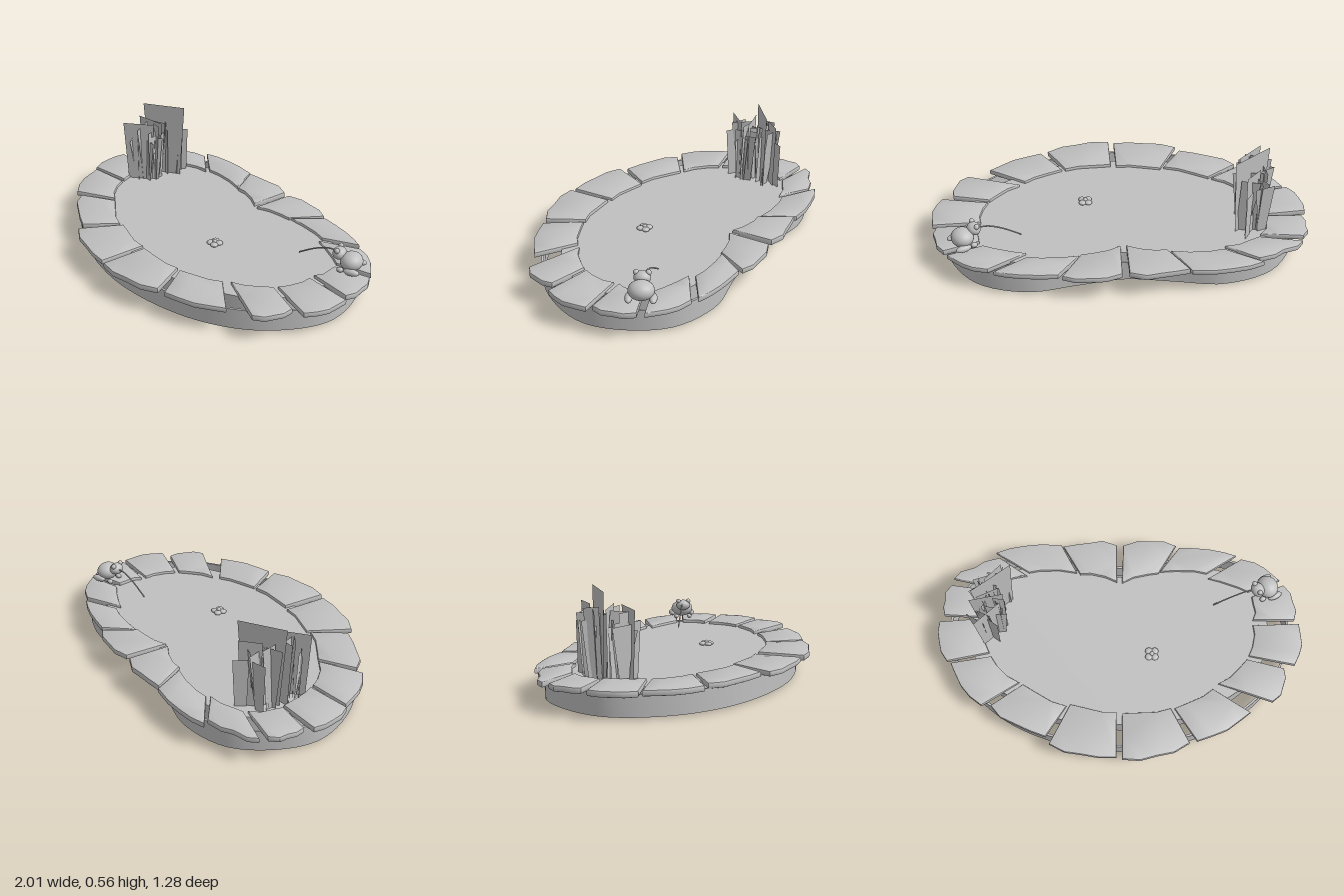
import * as THREE from 'three';
import { toCreasedNormals } from 'three/addons/utils/BufferGeometryUtils.js';

const grey = new THREE.MeshStandardMaterial({ color: 0xc0c0c0, side: THREE.DoubleSide });
grey.name = 'plain grey';

// small seeded random number source
function seeded(seed) {
  return () => (seed = (seed * 16807) % 2147483647) / 2147483647;
}

function add(parent, name, geometry, pos = [0, 0, 0], scale = [1, 1, 1]) {
  const mesh = new THREE.Mesh(geometry, grey);
  mesh.name = name;
  mesh.position.set(...pos);
  mesh.scale.set(...scale);
  parent.add(mesh);
  return mesh;
}

// extrudes an (x, -z) shape upward from y0 to y1
function slab(shape, y0, y1, bevel = 0) {
  const g = new THREE.ExtrudeGeometry(shape, {
    depth: y1 - y0 - 2 * bevel, bevelEnabled: bevel > 0, bevelThickness: bevel,
    bevelSize: bevel, bevelOffset: -bevel, bevelSegments: 2,
  });
  g.rotateX(-Math.PI / 2).translate(0, y0 + bevel, 0);
  return toCreasedNormals(g, 0.7);
}

// kidney outlines: the +x half from back to front, centre points first and last
const WALL = [[0, -0.49], [0.25, -0.525], [0.5, -0.56], [0.76, -0.47], [0.91, -0.25], [0.94, -0.05],
  [0.82, 0.21], [0.62, 0.39], [0.34, 0.51], [0, 0.56]];
const BASIN = [[0, -0.42], [0.25, -0.46], [0.5, -0.475], [0.7, -0.4], [0.81, -0.2], [0.82, -0.04],
  [0.73, 0.17], [0.55, 0.31], [0.32, 0.41], [0, 0.44]];
function outline(half, inset = 0) {
  const pts = [...half, ...half.slice(1, -1).map(([x, z]) => [-x, z]).reverse()];
  const curve = new THREE.CatmullRomCurve3(
    pts.map(([x, z]) => new THREE.Vector3(x, 0, z)), true);
  return curve.getPoints(96).slice(0, 96).map((p, i) => {
    const t = curve.getTangent(i / 96);
    return new THREE.Vector2(p.x - t.z * inset, -(p.z + t.x * inset));
  });
}

// edging stones: inner start, outer start, outer end, inner end
const BACK_STONES = [
  [-0.22, -0.43, -0.32, -0.6, -0.015, -0.61, -0.015, -0.385],
  [0.015, -0.38, 0.02, -0.61, 0.32, -0.61, 0.22, -0.44],
  [0.23, -0.45, 0.34, -0.6, 0.66, -0.55, 0.49, -0.44],
  [0.5, -0.41, 0.69, -0.53, 0.9, -0.4, 0.72, -0.33],
  [0.74, -0.3, 0.92, -0.37, 0.97, -0.16, 0.74, -0.16],
  [-0.78, -0.17, -0.97, -0.18, -0.94, -0.36, -0.72, -0.33],
  [-0.71, -0.35, -0.93, -0.4, -0.68, -0.53, -0.52, -0.42],
  [-0.51, -0.44, -0.7, -0.56, -0.33, -0.61, -0.24, -0.44],
];
const FRONT_STONES = [
  [0.74, -0.13, 0.995, -0.14, 0.96, 0.1, 0.71, 0.05],
  [0.7, 0.07, 0.9, 0.12, 0.83, 0.31, 0.54, 0.21],
  [0.51, 0.24, 0.71, 0.37, 0.42, 0.53, 0.3, 0.35],
  [0.28, 0.35, 0.38, 0.54, 0.02, 0.63, 0.02, 0.38],
  [-0.01, 0.37, -0.01, 0.62, -0.37, 0.55, -0.26, 0.33],
  [-0.28, 0.34, -0.39, 0.51, -0.69, 0.34, -0.52, 0.22],
  [-0.54, 0.21, -0.74, 0.34, -0.92, 0.1, -0.7, 0.06],
  [-0.71, 0.04, -0.94, 0.09, -0.995, -0.14, -0.77, -0.16],
];

function stoneShape(c, rand) {
  const p = [0, 2, 4, 6].map((i) => new THREE.Vector2(c[i], -c[i + 1]));
  const out = p[1].clone().add(p[2]).sub(p[0]).sub(p[3]).normalize();
  const along = (a, b, t, push) => a.clone().lerp(b, t).addScaledVector(out, push);
  return new THREE.Shape([
    p[0], along(p[0], p[1], 0.5, 0), p[1],
    ...[0.25, 0.5, 0.75].map((t) => along(p[1], p[2], t, 0.012 + rand() * 0.02)),
    p[2], along(p[2], p[3], 0.5, 0), p[3],
    ...[0.3, 0.7].map((t) => along(p[3], p[0], t, 0.005 + rand() * 0.015)),
  ]);
}

// flat leaf blade, narrower at its foot
function blade(width, height, foot) {
  const g = new THREE.PlaneGeometry(width, height).translate(0, height / 2, 0);
  const p = g.attributes.position;
  for (let i = 0; i < p.count; i++) if (p.getY(i) < 0.001) p.setX(i, p.getX(i) * foot);
  return g;
}

export function createModel() {
  const model = new THREE.Group();
  model.name = 'gardenPond';
  const rand = seeded(41);

  // thin outer wall, and the basin with its water inside it
  const wall = new THREE.Shape(outline(WALL));
  wall.holes.push(new THREE.Path(outline(WALL, 0.012)));
  add(model, 'outerWall', slab(wall, 0.01, 0.12));
  add(model, 'basin', slab(new THREE.Shape(outline(BASIN)), 0.015, 0.13));

  // edging stones
  const stones = new THREE.Group();
  stones.name = 'edgingStones';
  model.add(stones);
  for (const c of [...BACK_STONES, ...FRONT_STONES]) {
    add(stones, 'edgingStone', slab(stoneShape(c, rand), 0.116, 0.144 + rand() * 0.006, 0.007));
  }

  // pebbles set in the basin floor
  const ball = new THREE.SphereGeometry(1, 24, 16);
  const pebbles = [[0.51, -0.36], [0.28, -0.1], [0.24, -0.19], [0.07, -0.33], [0, -0.32],
    [-0.03, -0.38], [-0.03, -0.26], [-0.1, -0.28], [-0.16, -0.36], [0.48, 0.18], [0.22, 0.13],
    [0.11, 0.32], [-0.07, 0.15], [-0.27, 0.02], [-0.46, 0.08]];
  for (const [x, z] of pebbles) {
    const r = 0.022 + rand() * 0.01;
    add(model, 'pebble', ball, [x, 0.015, z], [r, 0.014, r * 0.8]);
  }

  // reeds: a few broad blades, then a thicket of narrower ones
  const reeds = new THREE.Group();
  reeds.name = 'reeds';
  model.add(reeds);
  const broad = [[-0.67, -0.225, 0.25, 0.43, 0.64], [-0.69, -0.06, 0.18, 0.35, 0.75],
    [-0.67, -0.29, 0.12, 0.36, 0.8], [-0.7, -0.15, 0.18, 0.35, 0.2], [-0.7, -0.06, 0.15, 0.28, -0.6],
    [-0.65, -0.33, 0.08, 0.26, 1.0], [-0.7, -0.2, 0.14, 0.31, 1.4]];
  for (const [x, z, w, h, turn] of broad) {
    add(reeds, 'broadReed', blade(w, h, 0.75), [x, 0.13, z]).rotation.y = turn;
  }
  for (let i = 0; i < 24; i++) {
    const h = 0.24 + rand() * 0.11;
    const reed = add(reeds, 'reed', blade(0.05 + rand() * 0.08, h, 0.3 + rand() * 0.6),
      [-0.69 + (rand() - 0.5) * 0.12, 0.13, -0.05 - rand() * 0.23]);
    reed.rotation.set((rand() - 0.5) * 0.16, rand() * Math.PI, (rand() - 0.5) * 0.16);
  }

  // frog, built facing +z and then turned toward the water
  const frog = new THREE.Group();
  frog.name = 'frog';
  frog.position.set(0.82, 0.145, -0.335);
  frog.rotation.y = -1.1;
  model.add(frog);
  add(frog, 'body', ball, [0, 0.06, 0], [0.064, 0.047, 0.058]);
  add(frog, 'head', ball, [0, 0.09, 0.065], [0.042, 0.032, 0.035]);
  for (const s of [-1, 1]) {
    add(frog, 'eye', ball, [s * 0.03, 0.115, 0.07], [0.014, 0.014, 0.014]);
    add(frog, 'hindLeg', ball, [s * 0.058, 0.03, -0.02], [0.019, 0.018, 0.042]);
    add(frog, 'frontFoot', ball, [s * 0.04, 0.018, 0.045], [0.014, 0.013, 0.018]);
  }

  // long curved tongue reaching over the water
  const tongue = new THREE.CatmullRomCurve3([[0.74, 0.24, -0.305], [0.69, 0.235, -0.29],
    [0.62, 0.205, -0.272], [0.525, 0.145, -0.25]].map((p) => new THREE.Vector3(...p)));
  add(model, 'tongue', new THREE.TubeGeometry(tongue, 24, 0.004, 8));

  // small floating blossom
  const blossom = new THREE.Group();
  blossom.name = 'blossom';
  blossom.position.set(0.18, 0.137, 0.04);
  model.add(blossom);
  for (let i = 0; i < 4; i++) {
    const a = Math.PI / 4 + (i * Math.PI) / 2;
    add(blossom, 'petal', ball, [Math.cos(a) * 0.023, 0, Math.sin(a) * 0.023], [0.02, 0.011, 0.02]);
  }
  add(blossom, 'blossomCentre', ball, [0, 0.008, 0], [0.012, 0.011, 0.012]);
  return model;
}
